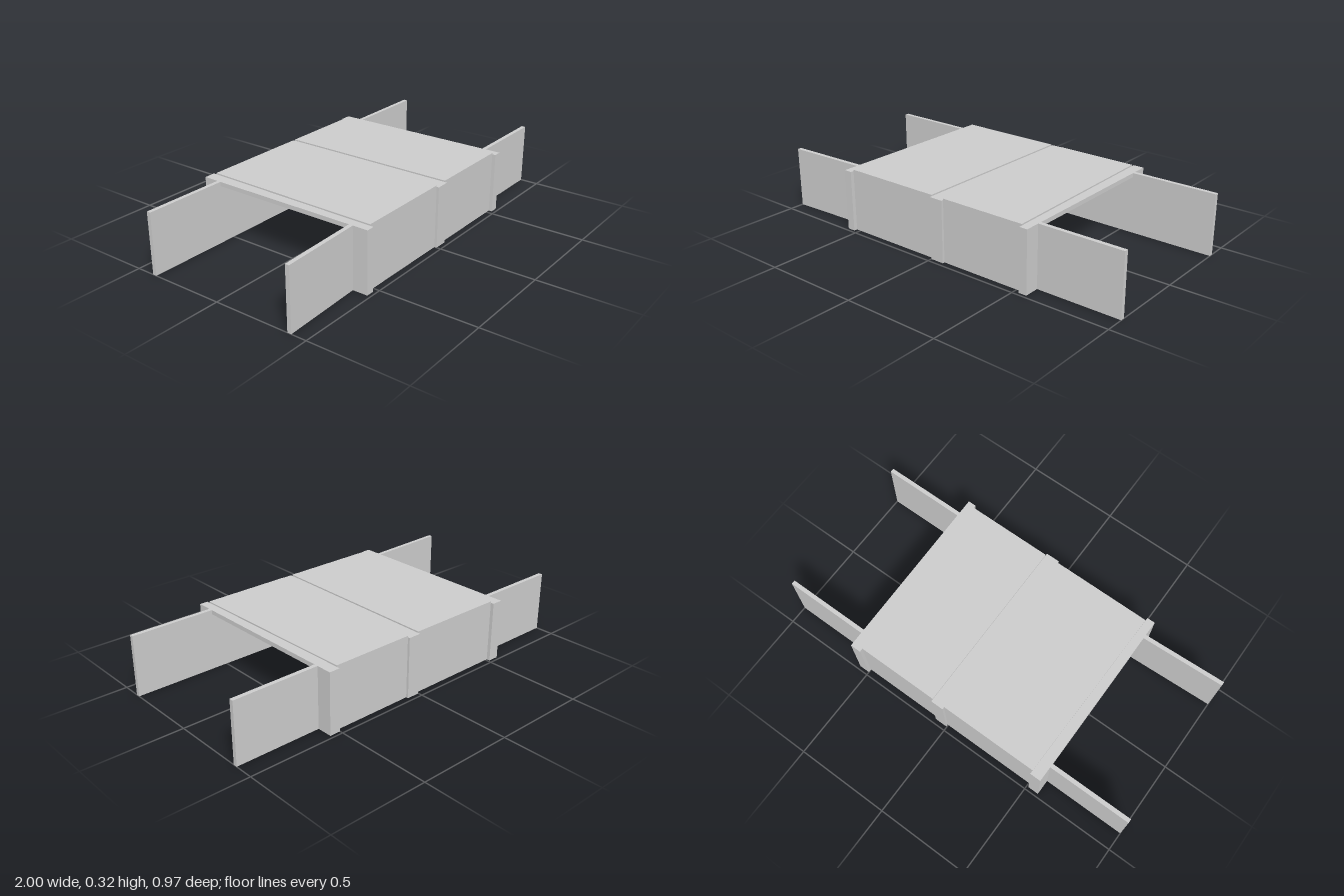
import * as THREE from 'three';

const material = new THREE.MeshStandardMaterial({ color: 0xcccccc, flatShading: true });
const INNER = 0.383, CEILING = 0.293, RIM = 0.315, CROWN = 0.322, END = 0.483;

function addMesh(group, name, geometry) {
  const mesh = new THREE.Mesh(geometry, material);
  mesh.name = name;
  group.add(mesh);
}

// One bay of the tunnel: an upside-down U section swept along x.
// front and back give the [start, end] x on each long side, so ends may be skewed.
function bay(front, back, outer, top) {
  const section = new THREE.Shape([
    [-outer, 0], [-INNER, 0], [-INNER, CEILING], [INNER, CEILING],
    [INNER, 0], [outer, 0], [outer, top], [-outer, top],
  ].map(([x, y]) => new THREE.Vector2(x, y)));
  const geometry = new THREE.ExtrudeGeometry(section, { depth: 1, bevelEnabled: false });
  geometry.rotateY(Math.PI / 2);
  const p = geometry.attributes.position;
  for (let i = 0; i < p.count; i++) {
    const t = (p.getZ(i) + END) / (2 * END);
    const start = THREE.MathUtils.lerp(back[0], front[0], t);
    const end = THREE.MathUtils.lerp(back[1], front[1], t);
    p.setX(i, THREE.MathUtils.lerp(start, end, p.getX(i)));
  }
  geometry.computeVertexNormals();
  return geometry;
}

// Upright wall standing on a plan outline of [x, z] corners
function wall(corners, height) {
  const plan = new THREE.Shape(corners.map(([x, z]) => new THREE.Vector2(x, -z)));
  return new THREE.ExtrudeGeometry(plan, { depth: height, bevelEnabled: false }).rotateX(-Math.PI / 2);
}

export function createModel() {
  const group = new THREE.Group();
  group.name = 'coveredPassage';

  // Covered bays between the narrow frames
  addMesh(group, 'rightBay', bay([-0.525, 0], [-0.51, 0.003], 0.465, CROWN));
  addMesh(group, 'leftBay', bay([0.072, 0.525], [0.07, 0.5], 0.465, CROWN));

  // Frames: proud of the walls, slightly lower than the roof panels
  addMesh(group, 'rightFrame', bay([-0.567, -0.525], [-0.567, -0.51], END, RIM));
  addMesh(group, 'middleFrame', bay([0, 0.072], [0.003, 0.07], 0.477, RIM));
  addMesh(group, 'leftFrame', bay([0.567, 0.525].reverse(), [0.5, 0.556], END, RIM));

  // Thin wing walls continuing the inner faces; the front right one flares outwards
  const thick = 0.021;
  const wings = [
    ['frontLeftWing', 0.55, 1, 1, 0],
    ['backLeftWing', 0.54, 1, -1, 0],
    ['frontRightWing', -0.56, -1, 1, 0.018],
    ['backRightWing', -0.56, -1, -1, 0],
  ];
  for (const [name, x0, x1, side, flare] of wings) {
    addMesh(group, name, wall([
      [x0, side * INNER], [x1, side * (INNER + flare)],
      [x1, side * (INNER + flare + thick)], [x0, side * (INNER + thick)],
    ], RIM));
  }
  return group;
}
